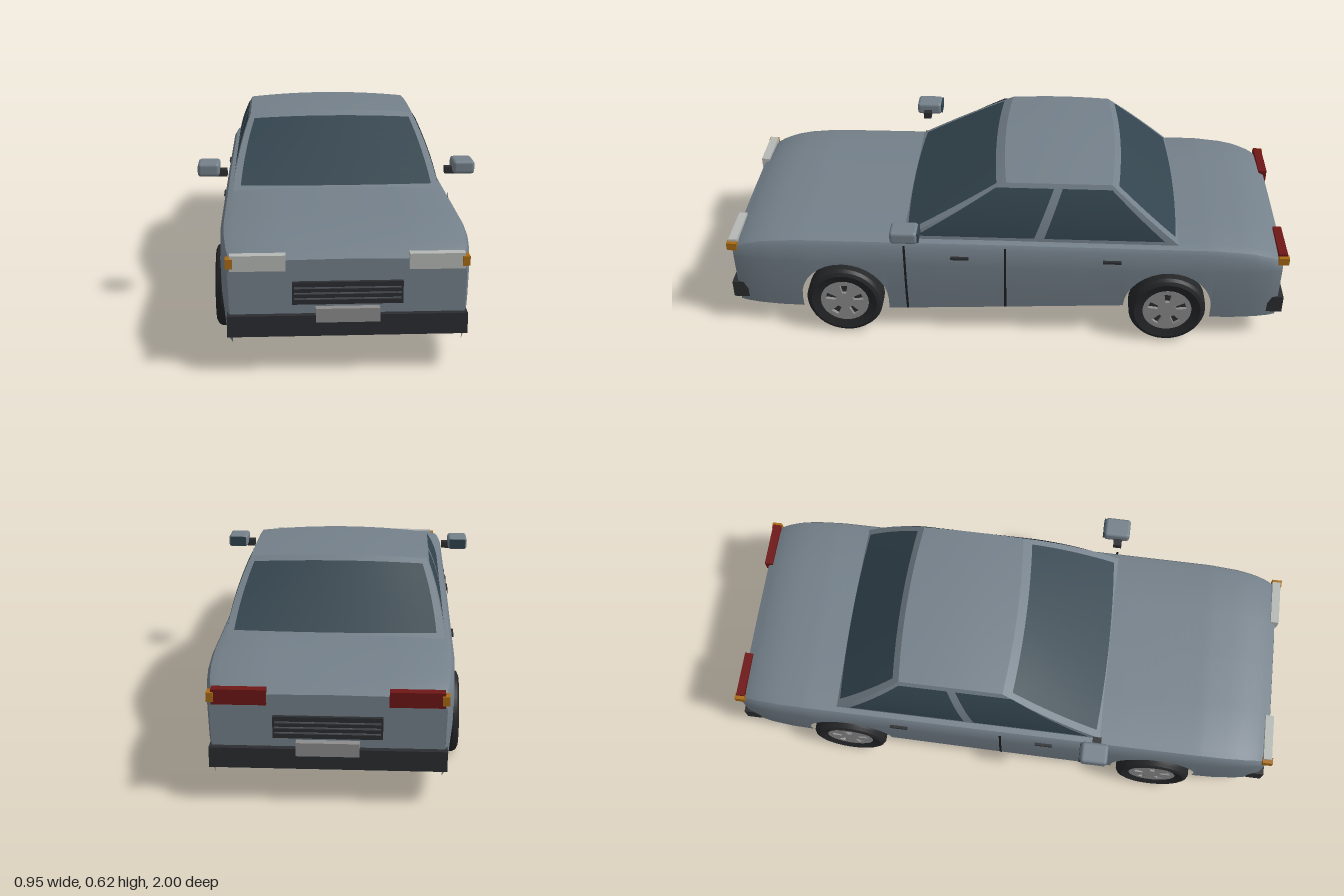
import * as THREE from 'three';
import { toCreasedNormals } from 'three/addons/utils/BufferGeometryUtils.js';
import { RoundedBoxGeometry } from 'three/addons/geometries/RoundedBoxGeometry.js';

const mat = (color, side = THREE.FrontSide) => new THREE.MeshStandardMaterial({ color, side });
const paint = mat(0x74808a, THREE.DoubleSide);
const glass = mat(0x33444e, THREE.DoubleSide);
const black = mat(0x2b2d30);
const rubber = mat(0x242527);
const grey = mat(0x8c8c8c);
const lampWhite = mat(0xb4b8b4);
const lampRed = mat(0x6e1616);
const amber = mat(0xa86a14);

// surface through an (nu+1) x (nv+1) grid of points given by fn(i, j)
function grid(nu, nv, fn, crease = 0.6) {
  const pos = [], idx = [];
  for (let i = 0; i <= nu; i++) for (let j = 0; j <= nv; j++) pos.push(...fn(i, j));
  for (let i = 0; i < nu; i++) for (let j = 0; j < nv; j++) {
    const a = i * (nv + 1) + j, b = a + nv + 1;
    idx.push(a, b, a + 1, b, b + 1, a + 1);
  }
  const g = new THREE.BufferGeometry();
  g.setAttribute('position', new THREE.Float32BufferAttribute(pos, 3));
  g.setIndex(idx);
  return toCreasedNormals(g, crease);
}

// linear interpolation in a list of [key, value]
function lookup(table, k) {
  for (let i = 1; i < table.length; i++) {
    const [k0, v0] = table[i - 1], [k1, v1] = table[i];
    if (k <= k1) return v0 + (v1 - v0) * Math.max(0, (k - k0) / (k1 - k0));
  }
  return table[table.length - 1][1];
}

const AXLE = 0.58, HUB_Y = 0.137, ARCH = 0.157, END = 0.975;
const topLine = [[0, 0.408], [0.72, 0.406], [0.8, 0.401], [0.87, 0.39], [0.93, 0.371], [END, 0.347]];
const planLine = [[0, 0.389], [0.7, 0.388], [0.82, 0.384], [0.9, 0.376], [0.95, 0.366], [END, 0.357]];
const bodyX = (y, w) => w - 0.014 * Math.max(0, (0.3 - y) / 0.21) ** 2;

// half cross-section of the lower body, sill to centreline
function halfSection(z, bottom) {
  const w = lookup(planLine, Math.abs(z)), t = lookup(topLine, Math.abs(z));
  const mid = (bottom + 0.3) / 2;
  return [[bodyX(bottom, w), bottom], [bodyX(mid, w), mid], [w, 0.3], [w - 0.002, t - 0.035],
    [w - 0.012, t - 0.018], [w - 0.04, t - 0.009], [w * 0.5, t - 0.002], [0, t]];
}

// stations along the length: [z, sill height], following the wheel arches
function stations() {
  const list = [];
  const arch = (c) => {
    for (let k = 0; k <= 16; k++) {
      const a = Math.PI * k / 16;
      list.push([c + ARCH * Math.cos(a), HUB_Y + ARCH * Math.sin(a)]);
    }
  };
  for (const z of [END, 0.95, 0.93, 0.9, 0.87, 0.82, AXLE + ARCH]) list.push([z, 0.09]);
  arch(AXLE);
  for (let k = 0; k <= 6; k++) {
    const t = k / 6;
    list.push([(AXLE - ARCH) * (1 - 2 * t), 0.09 + 0.048 * t]);
  }
  arch(-AXLE);
  for (const z of [AXLE + ARCH, 0.82, 0.87, 0.9, 0.93, 0.95, END]) list.push([-z, 0.09]);
  return list;
}

// cabin surfaces: h runs 0..1 from belt line to roof edge, s runs -1..1 across
const cabinY = (h) => 0.395 + 0.207 * h;
const cabinX = (h) => 0.358 - 0.02 * h - 0.038 * h * h;
const frontZ = (h) => 0.38 - 0.365 * h;
const rearZ = (h) => -0.62 + 0.24 * h;
const BOW = 0.015;
const screen = (front, s, h, off = 0) => [s * cabinX(h), cabinY(h) + 0.013 * (1 - s * s) * h + off,
  front ? frontZ(h) - BOW * s * s + off : rearZ(h) + BOW * s * s - off];

function tyreGeometry() {
  const pts = [[0.085, -0.034], [0.118, -0.044], [0.13, -0.038], [0.137, -0.026], [0.137, 0.026],
    [0.13, 0.038], [0.118, 0.044], [0.085, 0.034], [0.085, -0.034]];
  const g = new THREE.LatheGeometry(pts.map((p) => new THREE.Vector2(...p)), 36);
  return toCreasedNormals(g.rotateZ(Math.PI / 2), 0.5);
}

// wheel disc with five radial openings
function rimGeometry() {
  const shape = new THREE.Shape().absarc(0, 0, 0.087, 0, Math.PI * 2);
  for (let k = 0; k < 5; k++) {
    const a = Math.PI / 2 + k * Math.PI * 0.4;
    const p = (r, d) => new THREE.Vector2(r * Math.cos(a + d), r * Math.sin(a + d));
    shape.holes.push(new THREE.Path([p(0.034, -0.22), p(0.07, -0.2), p(0.07, 0.2), p(0.034, 0.22)]));
  }
  const g = new THREE.ExtrudeGeometry(shape, { depth: 0.07, bevelEnabled: false, curveSegments: 18 });
  return g.translate(0, 0, -0.035).rotateY(Math.PI / 2);
}

export function createModel() {
  const car = new THREE.Group();
  car.name = 'car';
  const add = (name, geo, material, x = 0, y = 0, z = 0, parent = car) => {
    const m = new THREE.Mesh(geo, material);
    m.name = name;
    m.position.set(x, y, z);
    parent.add(m);
    return m;
  };
  // box between two corners
  const box = (name, m, x0, x1, y0, y1, z0, z1) => add(name,
    new THREE.BoxGeometry(Math.abs(x1 - x0), Math.abs(y1 - y0), Math.abs(z1 - z0)), m,
    (x0 + x1) / 2, (y0 + y1) / 2, (z0 + z1) / 2);

  // lower body shell, open underneath
  const st = stations();
  const sections = st.map(([z, b]) => {
    const half = halfSection(z, b);
    const other = half.slice(0, -1).reverse().map(([x, y]) => [-x, y]);
    return [...half, ...other].map(([x, y]) => [x, y, z]);
  });
  add('bodyShell', grid(st.length - 1, sections[0].length - 1, (i, j) => sections[i][j]), paint);
  for (const e of [1, -1]) {
    const half = halfSection(END, 0.112);
    add(e > 0 ? 'nosePanel' : 'tailPanel',
      grid(half.length - 1, 1, (i, j) => [half[i][0] * (j ? 1 : -1), half[i][1], e * END]), paint);
  }

  // cabin
  const N = 12, H = 8;
  for (const front of [true, false]) {
    add(front ? 'windscreenFrame' : 'rearWindowFrame',
      grid(N, H, (i, j) => screen(front, i / N * 2 - 1, j / H)), paint);
    add(front ? 'windscreen' : 'rearWindow',
      grid(N, H, (i, j) => screen(front, (i / N * 2 - 1) * 0.93, 0.07 + 0.85 * j / H, 0.003)), glass);
  }
  add('roof', grid(N, N, (i, j) => {
    const s = i / N * 2 - 1, t = j / N, c = 1 - s * s;
    const z0 = frontZ(1) - BOW * s * s, z1 = rearZ(1) + BOW * s * s;
    return [s * cabinX(1), cabinY(1) + 0.013 * c + 0.006 * Math.sin(Math.PI * t), z0 + (z1 - z0) * t];
  }), paint);

  // side windows: [bottom front, bottom rear, top front, top rear] z positions
  const windows = { frontSideWindow: [0.315, -0.1, 0.035, -0.165], rearSideWindow: [-0.135, -0.555, -0.195, -0.365] };
  for (const e of [1, -1]) {
    const side = e > 0 ? 'left' : 'right';
    add(side + 'CabinSide', grid(H, 1, (i, j) => {
      const h = i / H;
      return [e * cabinX(h), cabinY(h), j ? rearZ(h) + BOW : frontZ(h) - BOW];
    }), paint);
    for (const [name, [a, b, c, d]] of Object.entries(windows)) {
      add(side + name, grid(H, 1, (i, j) => {
        const v = i / H, h = 0.07 + 0.86 * v;
        return [e * (cabinX(h) + 0.003), cabinY(h), j ? b + (d - b) * v : a + (c - a) * v];
      }), glass);
    }

    // door gaps and handles
    for (const [z, y0] of [[0.355, 0.095], [0, 0.115]]) {
      add(side + 'DoorGap', grid(8, 1, (i, j) => {
        const y = y0 + (0.385 - y0) * i / 8;
        return [e * (bodyX(y, 0.389) + 0.0015), y, z + (j ? 0.004 : -0.004)];
      }), mat(0x1c1e20, THREE.DoubleSide));
    }
    for (const z of [0.16, -0.375]) box(side + 'DoorHandle', black, e * 0.384, e * 0.397, 0.334, 0.343, z - 0.032, z + 0.032);

    // door mirror
    const mirror = new THREE.Group();
    mirror.name = side + 'Mirror';
    car.add(mirror);
    add('mirrorHousing', new RoundedBoxGeometry(0.075, 0.047, 0.095, 2, 0.012), paint, e * 0.439, 0.478, 0.342, mirror);
    add('mirrorGlass', new THREE.BoxGeometry(0.062, 0.036, 0.006), glass, e * 0.439, 0.478, 0.293, mirror);
    add('mirrorArm', new THREE.BoxGeometry(0.036, 0.024, 0.03), black, e * 0.394, 0.463, 0.348, mirror);
  }

  // wheels
  const tyre = tyreGeometry(), rim = rimGeometry();
  const disc = new THREE.CylinderGeometry(0.086, 0.086, 0.045, 24).rotateZ(Math.PI / 2);
  for (const e of [1, -1]) for (const f of [1, -1]) {
    const wheel = new THREE.Group();
    wheel.name = (f > 0 ? 'front' : 'rear') + (e > 0 ? 'Left' : 'Right') + 'Wheel';
    wheel.position.set(e * 0.364, HUB_Y, f * AXLE);
    car.add(wheel);
    add('tyre', tyre, rubber, 0, 0, 0, wheel);
    add('rim', rim, grey, 0, 0, 0, wheel);
    add('brakeDisc', disc, black, 0, 0, 0, wheel);
  }

  // nose and tail fittings
  for (const f of [1, -1]) {
    const end = f > 0 ? 'front' : 'rear';
    box(end + 'Bumper', black, -0.36, 0.36, 0.113, 0.178, f * 0.94, f * 0.995);
    box(end + 'Grille', black, -0.166, 0.166, 0.21, 0.279, f * 0.96, f * 0.988);
    for (const y of [0.228, 0.245, 0.262]) box(end + 'GrilleBar', mat(0x50555a), -0.16, 0.16, y - 0.002, y + 0.002, f * 0.98, f * 0.992);
    box(end + 'Plate', grey, -0.096, 0.096, 0.157, 0.2, f * 0.97, f * 1.0);
    for (const e of [1, -1]) {
      box(f > 0 ? 'headlight' : 'tailLight', f > 0 ? lampWhite : lampRed, e * 0.184, e * 0.35, 0.315, 0.363, f * 0.957, f * 0.987);
      box(end + 'Indicator', amber, e * 0.341, e * 0.363, 0.325, 0.354, f * 0.957, f * 0.993);
    }
  }
  return car;
}
